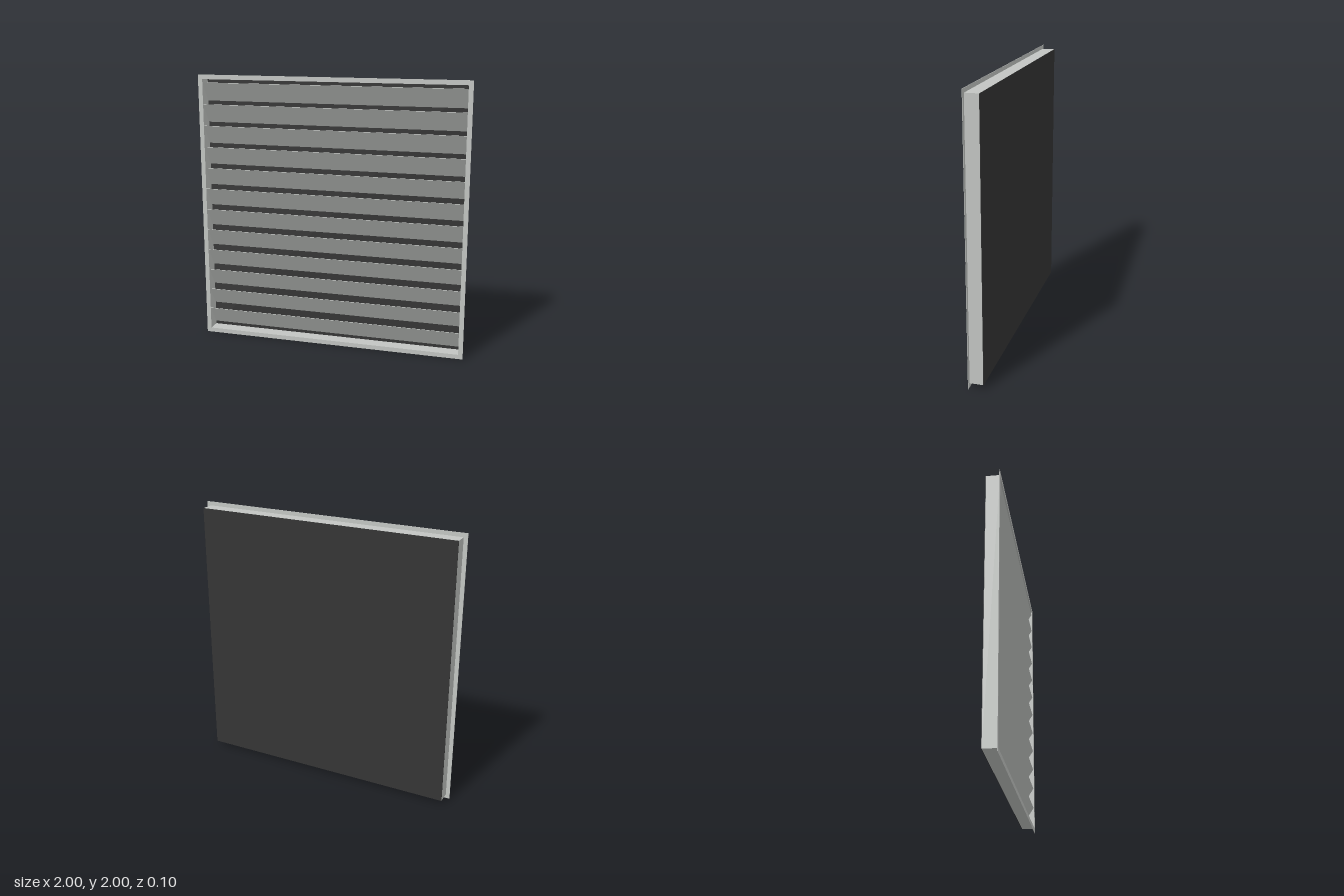
import * as THREE from 'three';

const H = 1;          // half size of the flange
const OUT = 0.971;    // half size of the duct outside
const IN = 0.967;     // half size of the opening

// Square frame of a given depth, extruded from z0 towards the front
function squareFrame(outer, inner, z0, depth) {
  const square = (s, Type) => {
    const p = new Type();
    p.moveTo(-s, -s);
    p.lineTo(s, -s);
    p.lineTo(s, s);
    p.lineTo(-s, s);
    p.closePath();
    return p;
  };
  const shape = square(outer, THREE.Shape);
  shape.holes.push(square(inner, THREE.Path));
  const geo = new THREE.ExtrudeGeometry(shape, { depth, bevelEnabled: false });
  return geo.translate(0, H, z0);
}

export function createModel() {
  const group = new THREE.Group();
  group.name = 'louvreVent';
  const metal = new THREE.MeshStandardMaterial({ color: 0xc2c5c2 });
  metal.name = 'light grey metal';
  const dark = new THREE.MeshStandardMaterial({ color: 0x343434 });
  dark.name = 'dark backing';

  const add = (name, geo, mat) => {
    const mesh = new THREE.Mesh(geo, mat);
    mesh.name = name;
    group.add(mesh);
    return mesh;
  };

  // Thin front flange and the shallow duct behind it
  add('flange', squareFrame(H, IN, 0.047, 0.003), metal);
  add('duct', squareFrame(OUT, IN, -0.047, 0.094), metal);

  // Backing screen closing the duct
  add('backScreen', new THREE.BoxGeometry(OUT * 2, OUT * 2, 0.003).translate(0, H, -0.0485), dark);

  // Slats: upper edge at the front, lower edge at the back
  const slats = new THREE.Group();
  slats.name = 'slats';
  group.add(slats);
  const count = 12, pitch = 0.1587, height = 0.138, run = 0.088;
  const slatGeo = new THREE.BoxGeometry(IN * 2, Math.hypot(height, run), 0.003);
  slatGeo.rotateX(Math.atan2(run, height));
  for (let i = 0; i < count; i++) {
    const slat = new THREE.Mesh(slatGeo, metal);
    slat.name = 'slat' + (i + 1);
    slat.position.y = H + (i - (count - 1) / 2) * pitch;
    slats.add(slat);
  }
  return group;
}
